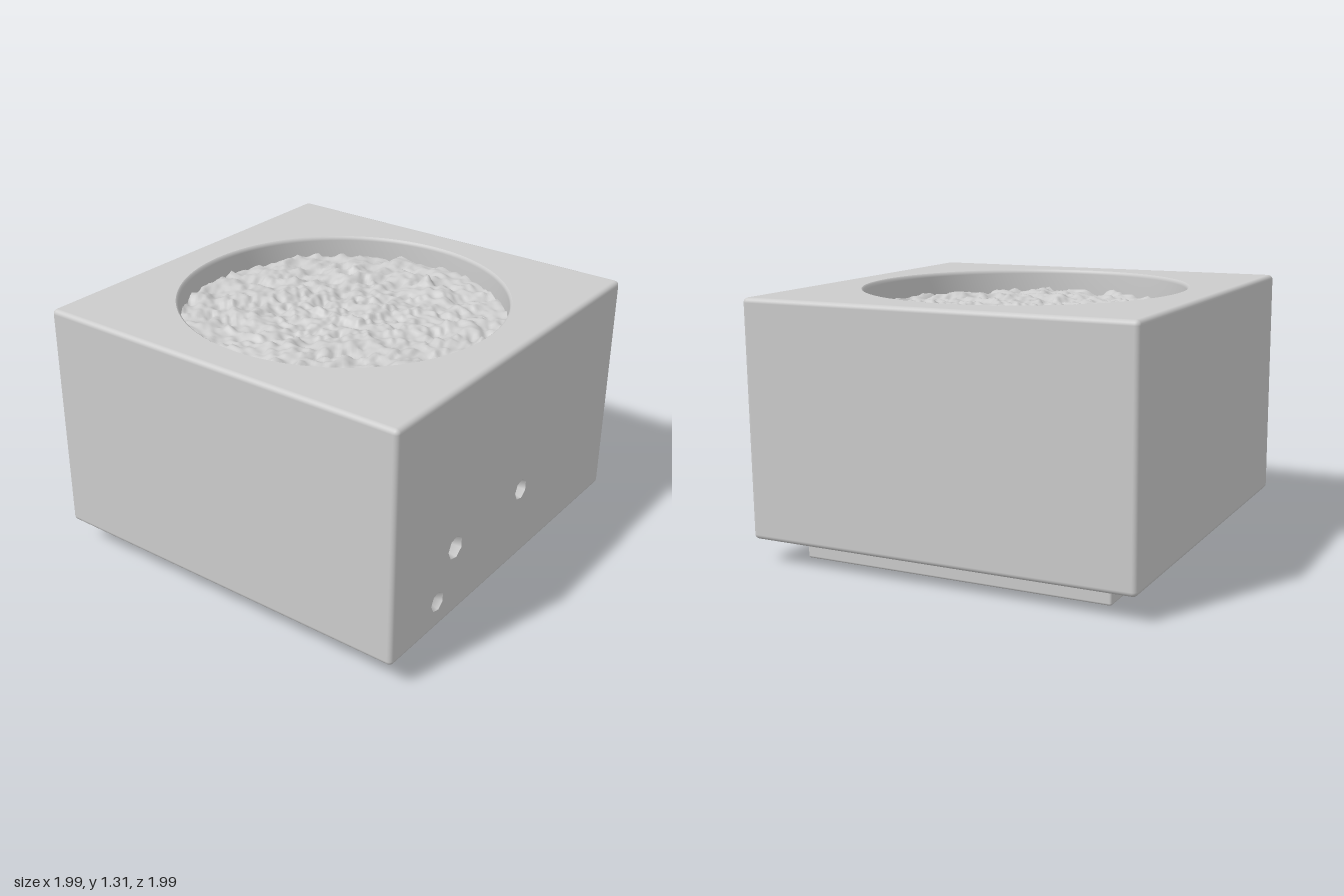
import * as THREE from 'three';
import { RoundedBoxGeometry } from 'three/addons/geometries/RoundedBoxGeometry.js';
import { mergeVertices } from 'three/addons/utils/BufferGeometryUtils.js';

const W = 1.978, H = 1.17, D = 1.968, BEVEL = 0.024, MID_Y = 0.713;
const R_POT = 0.8, SOIL = 1.185;
const FOOT = 1.6, FOOT_H = 0.14, FOOT_BEVEL = 0.012, R_RECESS = 0.7;

const material = new THREE.MeshStandardMaterial({ color: 0xcccccc, roughness: 0.9, side: THREE.DoubleSide });

function part(name, geometry) {
  const mesh = new THREE.Mesh(geometry, material);
  mesh.name = name;
  return mesh;
}

function squarePoints(w, h) {
  return [[-1, -1], [1, -1], [1, 1], [-1, 1]].map(([x, y]) => new THREE.Vector2(x * w / 2, y * h / 2));
}

// Flat panel with the given holes, facing +z
function panel(w, h, holes) {
  const shape = new THREE.Shape(squarePoints(w, h));
  shape.holes.push(...holes);
  return new THREE.ShapeGeometry(shape, 48);
}

function circleHole(r) {
  return new THREE.Path().absarc(0, 0, r, 0, Math.PI * 2, true);
}

function lathe(points, sides) {
  return new THREE.LatheGeometry(points.map(([r, y]) => new THREE.Vector2(r, y)), sides);
}

// Seeded hash and smooth value noise for the soil
function hash(i, j) {
  let n = Math.imul(i, 374761393) + Math.imul(j, 668265263);
  n = Math.imul(n ^ (n >>> 13), 1274126177);
  return ((n ^ (n >>> 16)) >>> 0) / 4294967295;
}

function noise(x, z) {
  const i = Math.floor(x), j = Math.floor(z);
  const u = THREE.MathUtils.smoothstep(x - i, 0, 1);
  const v = THREE.MathUtils.smoothstep(z - j, 0, 1);
  const a = THREE.MathUtils.lerp(hash(i, j), hash(i + 1, j), u);
  const b = THREE.MathUtils.lerp(hash(i, j + 1), hash(i + 1, j + 1), u);
  return THREE.MathUtils.lerp(a, b, v) - 0.5;
}

// Rounded box without the flat panels that face the open directions
function openShell(w, h, d, bevel, openDirections) {
  const box = new RoundedBoxGeometry(w, h, d, 3, bevel);
  const p = box.attributes.position, n = box.attributes.normal;
  const positions = [], normals = [], v = new THREE.Vector3();
  for (let t = 0; t < p.count; t += 3) {
    const corners = [t, t + 1, t + 2];
    const open = openDirections.some((dir) =>
      corners.every((k) => v.fromBufferAttribute(n, k).dot(dir) > 0.999));
    if (open) continue;
    for (const k of corners) {
      positions.push(...v.fromBufferAttribute(p, k));
      normals.push(...v.fromBufferAttribute(n, k));
    }
  }
  const shell = new THREE.BufferGeometry();
  shell.setAttribute('position', new THREE.Float32BufferAttribute(positions, 3));
  shell.setAttribute('normal', new THREE.Float32BufferAttribute(normals, 3));
  return shell;
}

// Lumpy soil with one taller clod near the back
function soilGeometry() {
  const ring = new THREE.RingGeometry(0.002, R_POT + 0.002, 220, 90).rotateX(-Math.PI / 2);
  ring.deleteAttribute('uv');
  const soil = mergeVertices(ring);
  const p = soil.attributes.position;
  for (let k = 0; k < p.count; k++) {
    const x = p.getX(k), z = p.getZ(k);
    const clod = 0.07 * Math.exp(-((x - 0.12) ** 2 + (z + 0.56) ** 2) / 0.0008);
    p.setY(k, SOIL + clod + 0.02 * noise(x * 8 + 40.3, z * 8 + 40.7)
      + 0.035 * noise(x * 17 + 90.1, z * 17 + 90.6)
      + 0.025 * noise(x * 34 + 150.2, z * 34 + 150.9));
  }
  soil.computeVertexNormals();
  return soil;
}

export function createModel() {
  const group = new THREE.Group();
  group.name = 'squarePlanter';
  const up = new THREE.Vector3(0, 1, 0), down = new THREE.Vector3(0, -1, 0), left = new THREE.Vector3(1, 0, 0);

  // Block body, sitting very slightly askew
  const body = new THREE.Group();
  body.name = 'body';
  body.position.y = MID_Y;
  body.rotation.set(-0.008, -0.006, -0.003);
  group.add(body);
  body.add(part('bodyShell', openShell(W, H, D, BEVEL, [up, down, left])));

  // Top panel around the round opening, and bottom panel around the foot
  const flatW = W - 2 * BEVEL, flatD = D - 2 * BEVEL, flatH = H - 2 * BEVEL;
  body.add(part('topPanel', panel(flatW, flatD, [circleHole(R_POT + 0.012)])
    .rotateX(-Math.PI / 2).translate(0, H / 2, 0)));
  body.add(part('bottomPanel', panel(flatW, flatD, [new THREE.Path(squarePoints(FOOT, FOOT))])
    .rotateX(Math.PI / 2).translate(0, -H / 2, 0)));

  // Inner wall with a softened rim
  body.add(part('innerWall', lathe([
    [R_POT + 0.012, H / 2], [R_POT + 0.004, H / 2 - 0.006], [R_POT, H / 2 - 0.02], [R_POT, SOIL - MID_Y - 0.02],
  ], 96)));

  // Side panel with small pits: [z, y, radius, depth]
  const sides = 7, rims = [];
  for (const [z, y, r, depth] of [[0.49, 0.49, 0.058, 0.08], [-0.094, 0.51, 0.053, 0.08], [0.623, 0.27, 0.05, 0.04]]) {
    const rim = [];
    for (let s = 0; s < sides; s++) {
      const a = (s / sides) * Math.PI * 2;
      rim.push(new THREE.Vector2(-(z + r * Math.cos(a)), y - MID_Y - r * Math.sin(a)));
    }
    rims.push(new THREE.Path(rim));
    const pit = lathe([[0, -depth], [r * 0.75, -depth * 0.85], [r, 0]], sides);
    body.add(part('sidePit', pit.rotateZ(-Math.PI / 2).translate(W / 2, y - MID_Y, z)));
  }
  body.add(part('sidePanel', panel(flatD, flatH, rims).rotateY(Math.PI / 2).translate(W / 2, 0, 0)));

  group.add(part('soil', soilGeometry()));

  // Square foot: walls, underside and a shallow round recess
  const footFlat = FOOT - 2 * FOOT_BEVEL;
  group.add(part('footWalls', openShell(FOOT, FOOT_H, FOOT, FOOT_BEVEL, [up, down]).translate(0, FOOT_H / 2, 0)));
  group.add(part('footUnderside', panel(footFlat, footFlat, [circleHole(R_RECESS)]).rotateX(Math.PI / 2)));
  group.add(part('footRecess', lathe([
    [R_RECESS, 0], [R_RECESS - 0.01, 0.006], [R_RECESS - 0.018, 0.02], [R_RECESS - 0.022, 0.055],
    [R_RECESS - 0.03, 0.068], [R_RECESS - 0.05, 0.074], [0, 0.074],
  ], 64)));

  return group;
}
